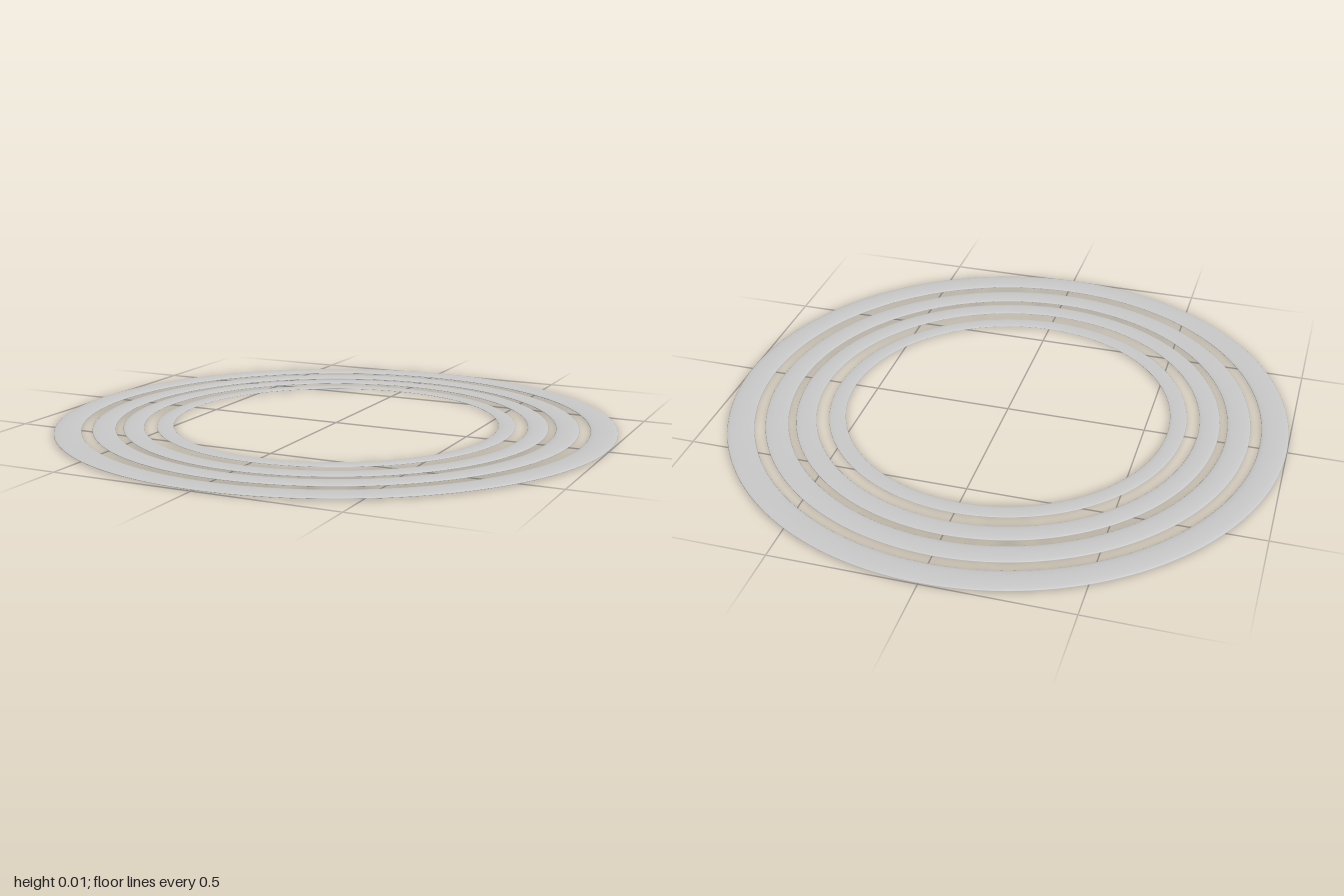
import * as THREE from 'three';

// Four concentric flattened rings: [name, inner radius, outer radius]
const RINGS = [
  ['outerRing', 0.905, 1.0],
  ['outerMiddleRing', 0.786, 0.867],
  ['innerMiddleRing', 0.687, 0.759],
  ['innerRing', 0.583, 0.642],
];
const FLATTEN = 0.1;

export function createModel() {
  const model = new THREE.Group();
  model.name = 'concentricRings';
  const material = new THREE.MeshStandardMaterial({ color: 0xcccccc });
  const midHeight = ((RINGS[0][2] - RINGS[0][1]) / 2) * FLATTEN;

  for (const [name, inner, outer] of RINGS) {
    // A torus laid flat and squashed into a thin lens-shaped band
    const geometry = new THREE.TorusGeometry((inner + outer) / 2, (outer - inner) / 2, 24, 160);
    geometry.rotateX(-Math.PI / 2);
    geometry.scale(1, FLATTEN, 1);
    const ring = new THREE.Mesh(geometry, material);
    ring.name = name;
    ring.position.y = midHeight;
    model.add(ring);
  }
  return model;
}
